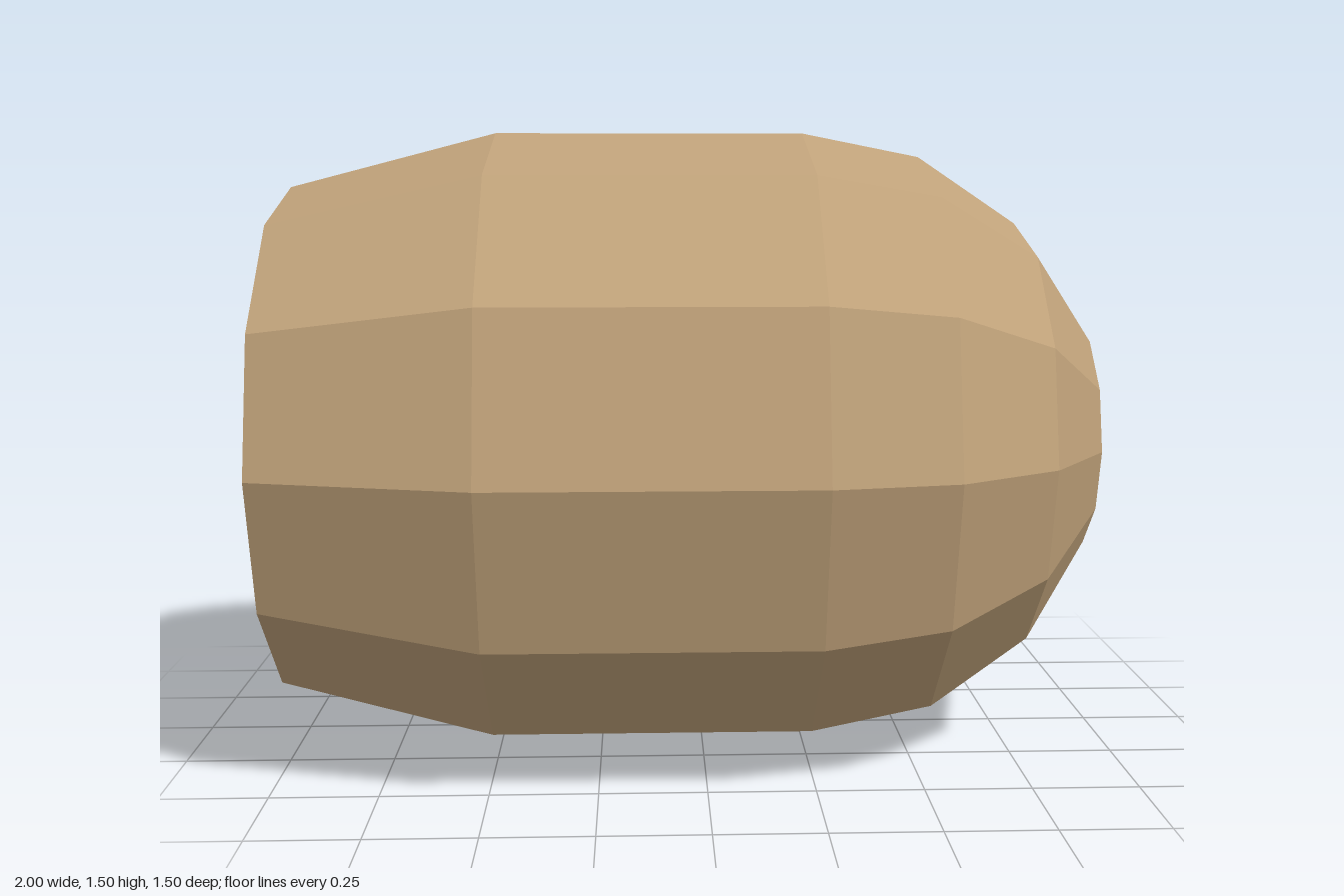
import * as THREE from 'three';
import { toCreasedNormals } from 'three/addons/utils/BufferGeometryUtils.js';

const SIDES = 12;

export function createModel() {
  const group = new THREE.Group();
  const tan = new THREE.MeshStandardMaterial({ color: 0xc0a27a });
  tan.name = 'tan';

  // Revolve a profile of [position along x, radius] around the long axis
  const revolve = (name, profile) => {
    const points = profile.map(([x, r]) => new THREE.Vector2(r, x));
    const geometry = new THREE.LatheGeometry(points, SIDES).rotateZ(-Math.PI / 2);
    const mesh = new THREE.Mesh(toCreasedNormals(geometry, 0.15), tan);
    mesh.name = name;
    mesh.position.y = 0.75;
    group.add(mesh);
  };

  // Rounded nose: quarter circle centred at x = 0.25
  const dome = (radius) => [0, 1, 2, 3].map((i) => {
    const a = (i * Math.PI) / 8;
    return [0.25 + radius * Math.sin(a), radius * Math.cos(a)];
  });

  // Outer body, tapering towards the open end
  revolve('outerShell', [[-1, 0.62], [-0.5, 0.75], ...dome(0.75), [1, 0.045], [1, 0]]);

  // Flat ring around the opening
  revolve('rim', [[-1, 0.51], [-1, 0.62]]);

  // Hollow inside, following the outer body
  revolve('cavity', [[0.87, 0], ...dome(0.62).reverse(), [-0.5, 0.62], [-1, 0.51]]);

  return group;
}
